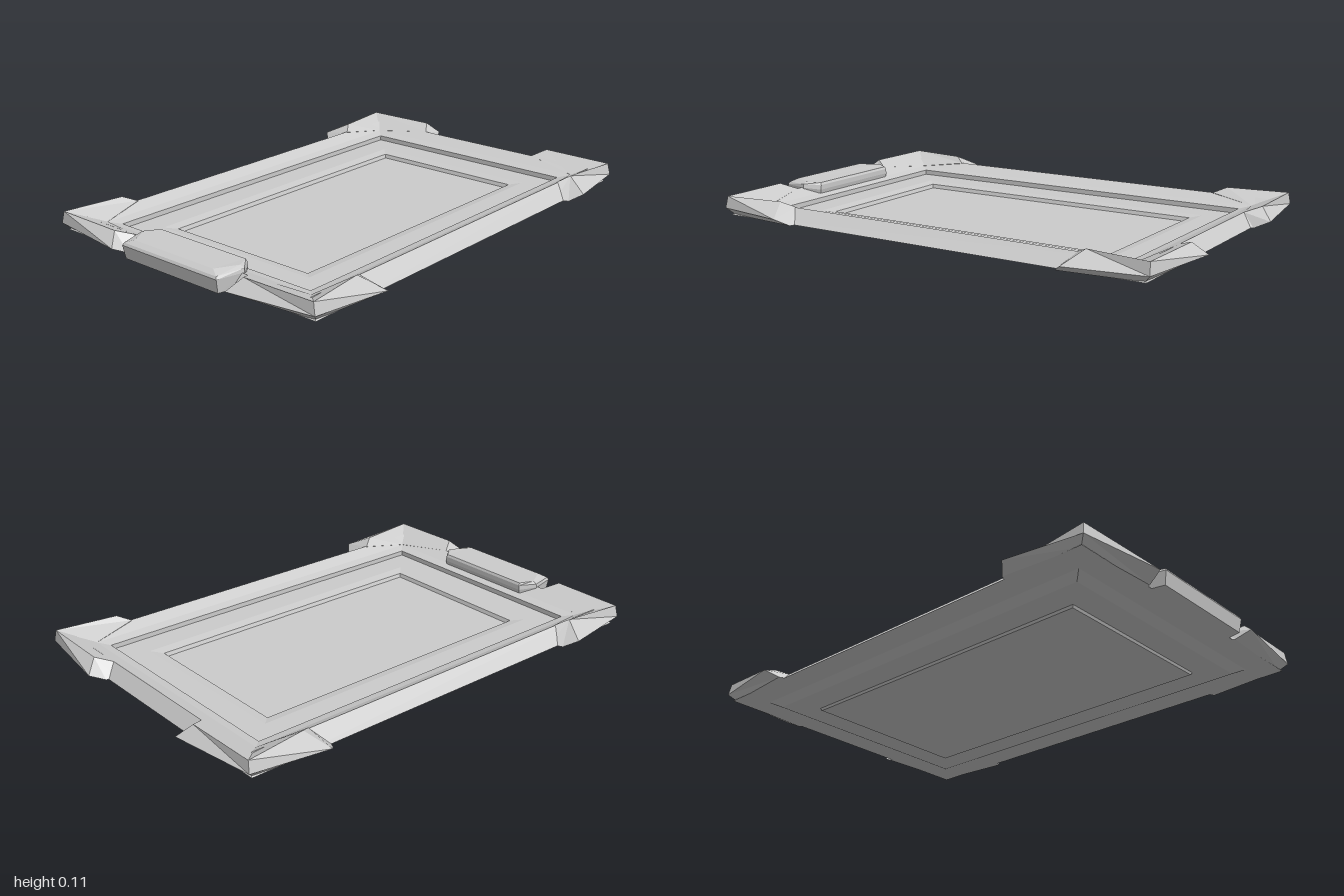
import * as THREE from 'three';

const material = new THREE.MeshStandardMaterial({ color: 0xcccccc, flatShading: true });

// Skin a list of equal-length loops; optionally close both ends.
function loft(name, loops, caps = true) {
  const pos = [];
  const tri = (a, b, c) => pos.push(...a, ...b, ...c);
  const n = loops[0].length;
  for (let k = 0; k < loops.length - 1; k++) {
    const a = loops[k], b = loops[k + 1];
    for (let i = 0; i < n; i++) {
      const j = (i + 1) % n;
      tri(a[i], a[j], b[j]);
      tri(a[i], b[j], b[i]);
    }
  }
  if (caps) {
    const first = loops[0], last = loops[loops.length - 1];
    for (let i = 1; i < n - 1; i++) {
      tri(first[0], first[i + 1], first[i]);
      tri(last[0], last[i], last[i + 1]);
    }
  }
  const geometry = new THREE.BufferGeometry();
  geometry.setAttribute('position', new THREE.Float32BufferAttribute(pos, 3));
  geometry.computeVertexNormals();
  const mesh = new THREE.Mesh(geometry, material);
  mesh.name = name;
  return mesh;
}

// Rectangular loop with half sizes x and z at height y.
const rect = ([x, z, y]) => [[x, y, z], [x, y, -z], [-x, y, -z], [-x, y, z]];

export function createModel() {
  const model = new THREE.Group();
  model.name = 'framedPanel';

  // Stepped tray: bottom face, out along the underside, back in along the top
  model.add(loft('centrePanel', [
    [0.33, 0.63, 0], [0.37, 0.675, 0.005], [0.375, 0.68, 0.015], [0.49, 0.79, 0.015],
    [0.53, 0.83, 0.035], [0.49, 0.79, 0.035], [0.38, 0.68, 0.035],
    [0.34, 0.64, 0.028], [0.335, 0.635, 0.012],
  ].map(rect)));

  // Raised border with a sloped outer face and an inward-sloping top
  model.add(loft('borderFrame', [
    [0.53, 0.83, 0.035], [0.64, 0.93, 0.036], [0.58, 0.89, 0.09],
    [0.53, 0.83, 0.065], [0.49, 0.79, 0.055], [0.49, 0.79, 0.035],
  ].map(rect), false));

  // Corner guards: side end, corner and front end sections.
  // Section order: top inner, bottom inner, bottom outer, middle outer, top outer
  const sections = [
    [[0.575, 0.09, 0.64], [0.61, 0.036, 0.58], [0.66, 0.036, 0.6], [0.705, 0.065, 0.64], [0.61, 0.113, 0.69]],
    [[0.53, 0.066, 0.83], [0.56, 0.036, 0.85], [0.63, 0.036, 0.92], [0.655, 0.065, 0.95], [0.645, 0.113, 0.945]],
    [[0.295, 0.09, 0.89], [0.26, 0.036, 0.9], [0.275, 0.036, 0.94], [0.295, 0.065, 1], [0.335, 0.113, 0.95]],
  ];
  const guards = new THREE.Group();
  guards.name = 'cornerGuards';
  for (const sx of [1, -1]) {
    for (const sz of [1, -1]) {
      const loops = sections.map((s) => {
        const loop = s.map(([x, y, z]) => [x * sx, y, z * sz]);
        return sx * sz < 0 ? loop.reverse() : loop;
      });
      guards.add(loft(`${sz > 0 ? 'front' : 'back'}${sx > 0 ? 'Left' : 'Right'}Guard`, loops));
    }
  }
  model.add(guards);

  // Front tab: six-sided block with a chamfered top
  const tabLoop = (half) => [...half, ...half.map(([x, y, z]) => [-x, y, z]).reverse()];
  model.add(loft('frontTab', [
    [[0.24, 0.036, 0.98], [0.26, 0.036, 0.89], [0.22, 0.036, 0.83]],
    [[0.245, 0.09, 0.99], [0.27, 0.09, 0.88], [0.225, 0.08, 0.82]],
    [[0.24, 0.1, 0.985], [0.268, 0.105, 0.88], [0.222, 0.1, 0.82]],
    [[0.205, 0.113, 0.965], [0.25, 0.113, 0.88], [0.22, 0.11, 0.825]],
  ].map(tabLoop)));

  return model;
}
